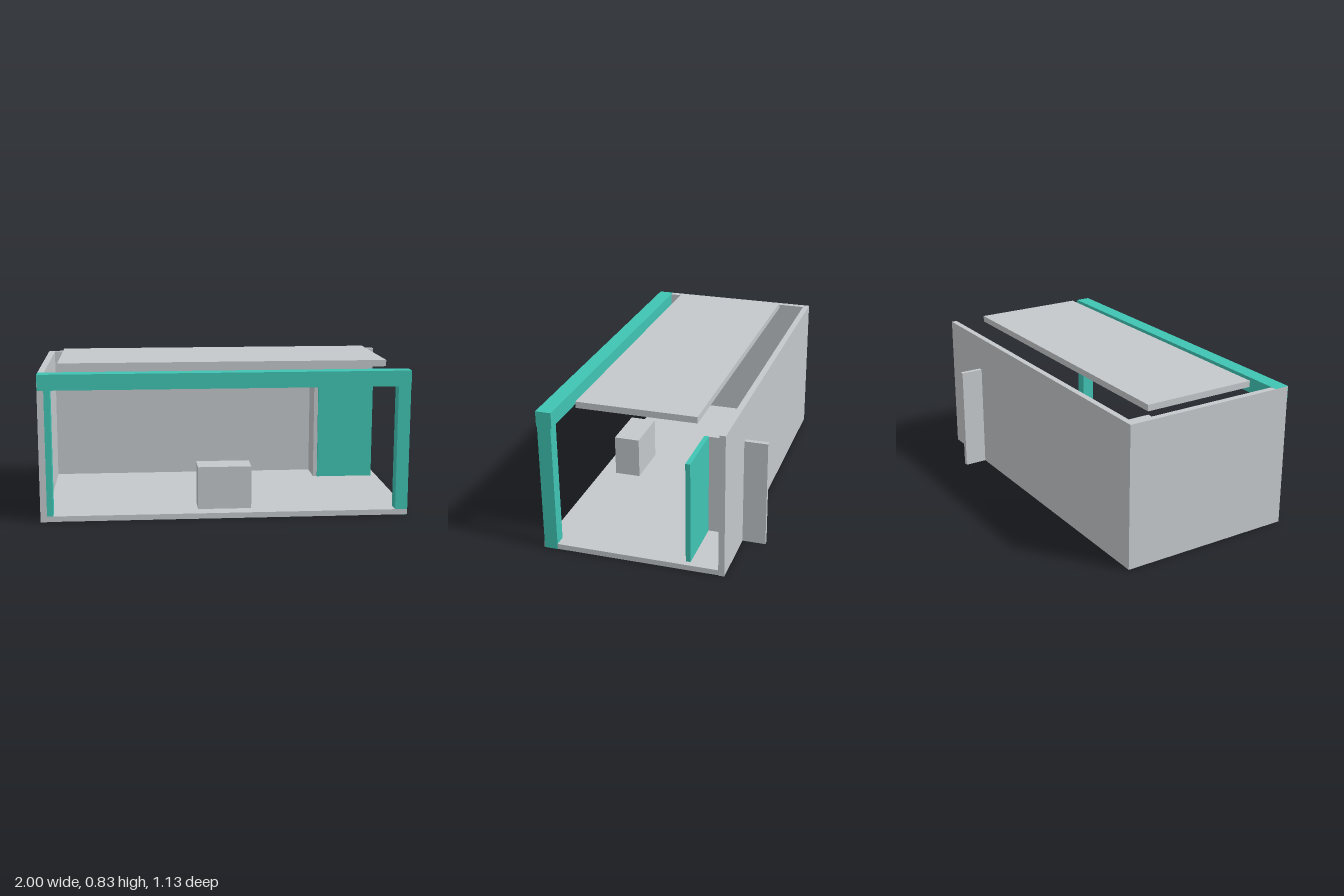
import * as THREE from 'three';

export function createModel() {
  const grey = new THREE.MeshStandardMaterial({ color: 0xc4c8cb });
  grey.name = 'lightGrey';
  const teal = new THREE.MeshStandardMaterial({ color: 0x40c4b4 });
  teal.name = 'teal';

  const model = new THREE.Group();
  model.name = 'exhibitionStand';

  // Box given by its min and max along each axis
  function slab(name, material, [x0, x1], [y0, y1], [z0, z1]) {
    const mesh = new THREE.Mesh(new THREE.BoxGeometry(x1 - x0, y1 - y0, z1 - z0), material);
    mesh.position.set((x0 + x1) / 2, (y0 + y1) / 2, (z0 + z1) / 2);
    mesh.name = name;
    model.add(mesh);
  }

  // Shell: floor, back wall and one side wall; the +x side stays open.
  // Offsets of 0.001 keep flush faces from flickering.
  slab('floor', grey, [-0.999, 0.999], [0.001, 0.031], [-0.437, 0.5625]);
  slab('backWall', grey, [-1, 1], [0, 0.799], [-0.4375, -0.405]);
  slab('sideWall', grey, [-1, -0.965], [0, 0.799], [-0.4365, 0.5625]);

  // Front portal frame
  slab('frontBeam', teal, [-0.999, 1], [0.715, 0.8], [0.48, 0.565]);
  slab('rightPost', teal, [-0.999, -0.932], [0, 0.716], [0.486, 0.56]);
  slab('leftPost', teal, [0.932, 1], [0, 0.716], [0.486, 0.56]);

  // Floating ceiling panel and counter
  slab('ceilingPanel', grey, [-0.9, 0.9], [0.799, 0.834], [-0.265, 0.385]);
  slab('counter', grey, [-0.148, 0.146], [0.03, 0.267], [0.326, 0.475]);

  // Corner partition; its grey leaf passes through the back wall
  slab('partitionFront', teal, [0.63, 0.965], [0, 0.6], [-0.246, -0.22]);
  slab('partitionSide', grey, [0.606, 0.632], [0, 0.599], [-0.565, -0.23]);

  return model;
}
